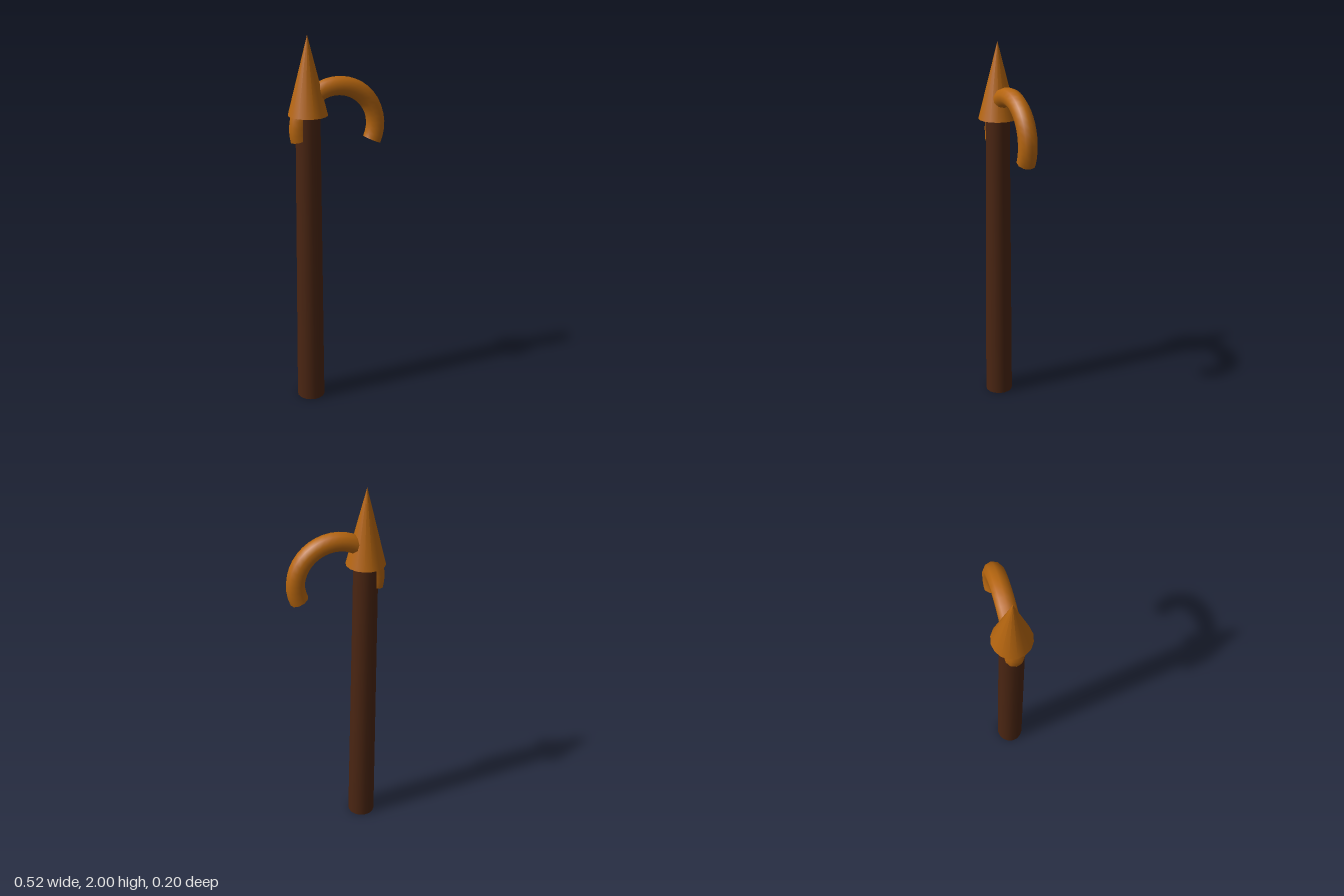
import * as THREE from 'three';

export function createModel() {
  const group = new THREE.Group();
  const wood = new THREE.MeshStandardMaterial({ color: 0x4a2512 });
  const metal = new THREE.MeshStandardMaterial({ color: 0xb5650f });
  const openMetal = new THREE.MeshStandardMaterial({ color: 0xb5650f, side: THREE.DoubleSide });
  const poleX = -0.157;

  const add = (name, geometry, material, x, y) => {
    const mesh = new THREE.Mesh(geometry, material);
    mesh.name = name;
    mesh.position.set(x, y, 0);
    group.add(mesh);
    return mesh;
  };

  // Tapered wooden pole
  add('shaft', new THREE.CylinderGeometry(0.063, 0.075, 1.6, 16), wood, poleX, 0.8);

  // Pointed head
  add('spearTip', new THREE.ConeGeometry(0.102, 0.4, 16), metal, poleX, 1.8);

  // Curved hook passing through the head, with open ends
  const start = THREE.MathUtils.degToRad(-24);
  const arc = THREE.MathUtils.degToRad(219);
  const hook = add('hook', new THREE.TorusGeometry(0.209, 0.049, 10, 24, arc), openMetal, 0, 1.53);
  hook.rotation.z = start;

  return group;
}
